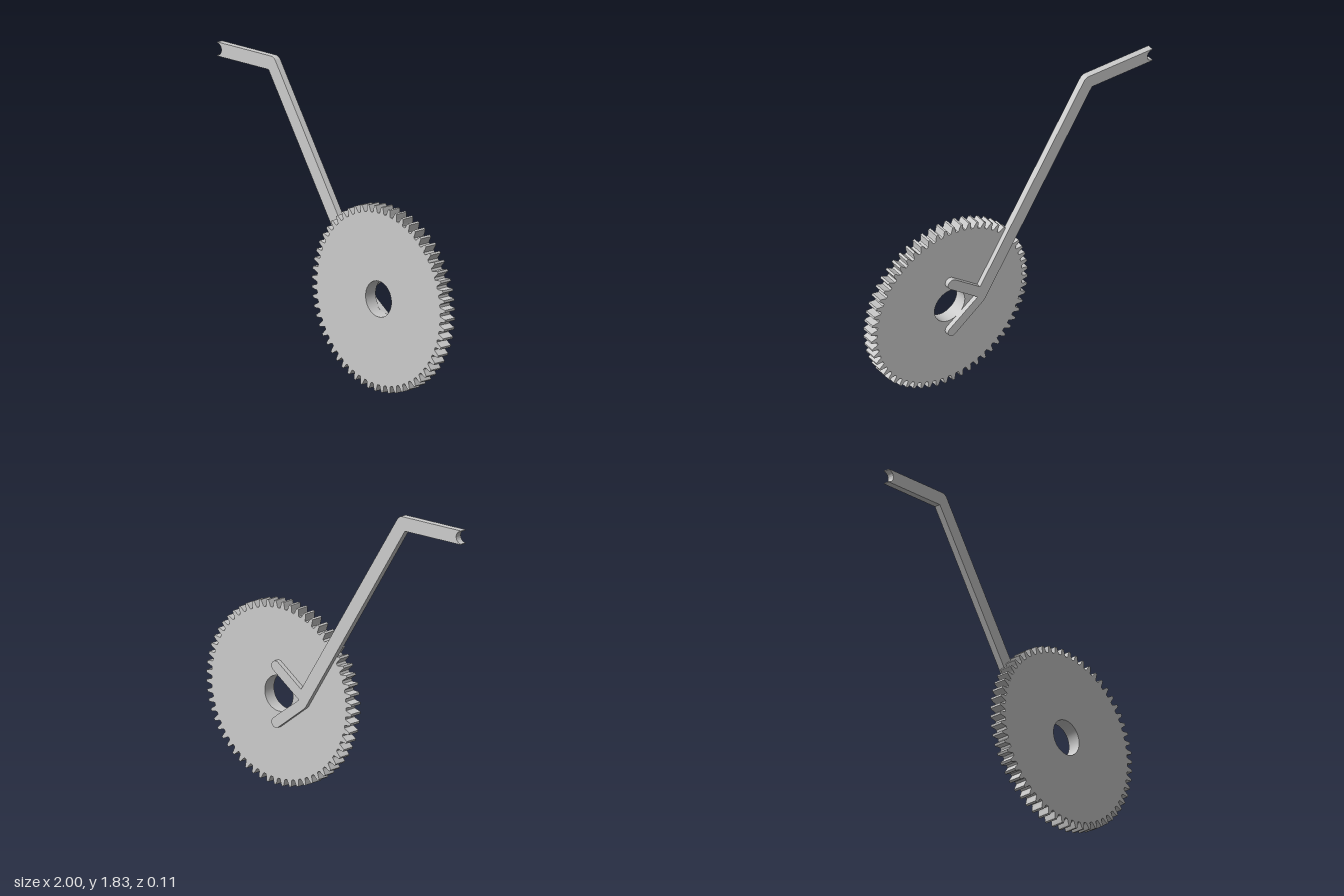
import * as THREE from 'three';
import { toCreasedNormals } from 'three/addons/utils/BufferGeometryUtils.js';

const CX = 0.438, CY = 0.562; // gear axis

function plate(name, shape, zBack, zFront, material) {
  const geo = new THREE.ExtrudeGeometry(shape, { depth: zFront - zBack, bevelEnabled: false, curveSegments: 24 });
  geo.translate(0, 0, zBack);
  const mesh = new THREE.Mesh(toCreasedNormals(geo, 0.45), material);
  mesh.name = name;
  return mesh;
}

// Spur gear outline: each tooth is a root-to-tip profile of (pitch fraction, radius)
function gearShape(teeth, root, tip, bore) {
  const profile = [[-0.36, root], [-0.28, root + 0.008], [-0.23, (root + tip) / 2], [-0.12, tip],
    [0.12, tip], [0.23, (root + tip) / 2], [0.28, root + 0.008], [0.36, root]];
  const points = [];
  for (let i = 0; i < teeth; i++) {
    for (const [f, r] of profile) {
      const a = (i + 0.5 + f) * 2 * Math.PI / teeth;
      points.push(new THREE.Vector2(CX + r * Math.cos(a), CY + r * Math.sin(a)));
    }
  }
  const shape = new THREE.Shape(points);
  shape.holes.push(new THREE.Path().absarc(CX, CY, bore, 0, 2 * Math.PI, true));
  return shape;
}

// Cranked lever ending in a two-pronged fork that straddles the bore
function leverShape() {
  const angle = THREE.MathUtils.degToRad(35), r = 0.0325;
  const tipX = 0.4375, rise = 0.172;
  const nx = -Math.sin(angle) * r, ny = Math.cos(angle) * r;
  const s = new THREE.Shape();
  s.moveTo(-1, 1.75);
  s.lineTo(-0.565, 1.75);
  s.lineTo(0.197, 0.541);
  s.quadraticCurveTo(0.205, 0.524, 0.222, 0.511);
  // lower prong
  s.lineTo(tipX + nx, CY - rise - ny);
  s.absarc(tipX, CY - rise, r, -Math.PI / 2 - angle, Math.PI / 2 - angle, false);
  s.lineTo(0.257, CY);
  // upper prong
  s.lineTo(tipX - nx, CY + rise - ny);
  s.absarc(tipX, CY + rise, r, -Math.PI / 2 + angle, Math.PI / 2 + angle, false);
  s.lineTo(0.24, 0.63);
  // outer edge with the rounded elbow
  s.lineTo(-0.505, 1.812);
  s.quadraticCurveTo(-0.52, 1.835, -0.547, 1.835);
  s.lineTo(-1, 1.835);
  // half-round notch in the free end
  s.lineTo(-1, 1.83);
  s.absarc(-1, 1.7925, 0.0375, Math.PI / 2, -Math.PI / 2, true);
  s.closePath();
  return s;
}

export function createModel() {
  const group = new THREE.Group();
  group.name = 'gearWithLever';
  const grey = new THREE.MeshStandardMaterial({ color: 0xcccccc });
  group.add(plate('gear', gearShape(60, 0.52, 0.562, 0.109), -0.026, 0.056, grey));
  group.add(plate('forkedLever', leverShape(), -0.056, -0.015, grey));
  return group;
}
